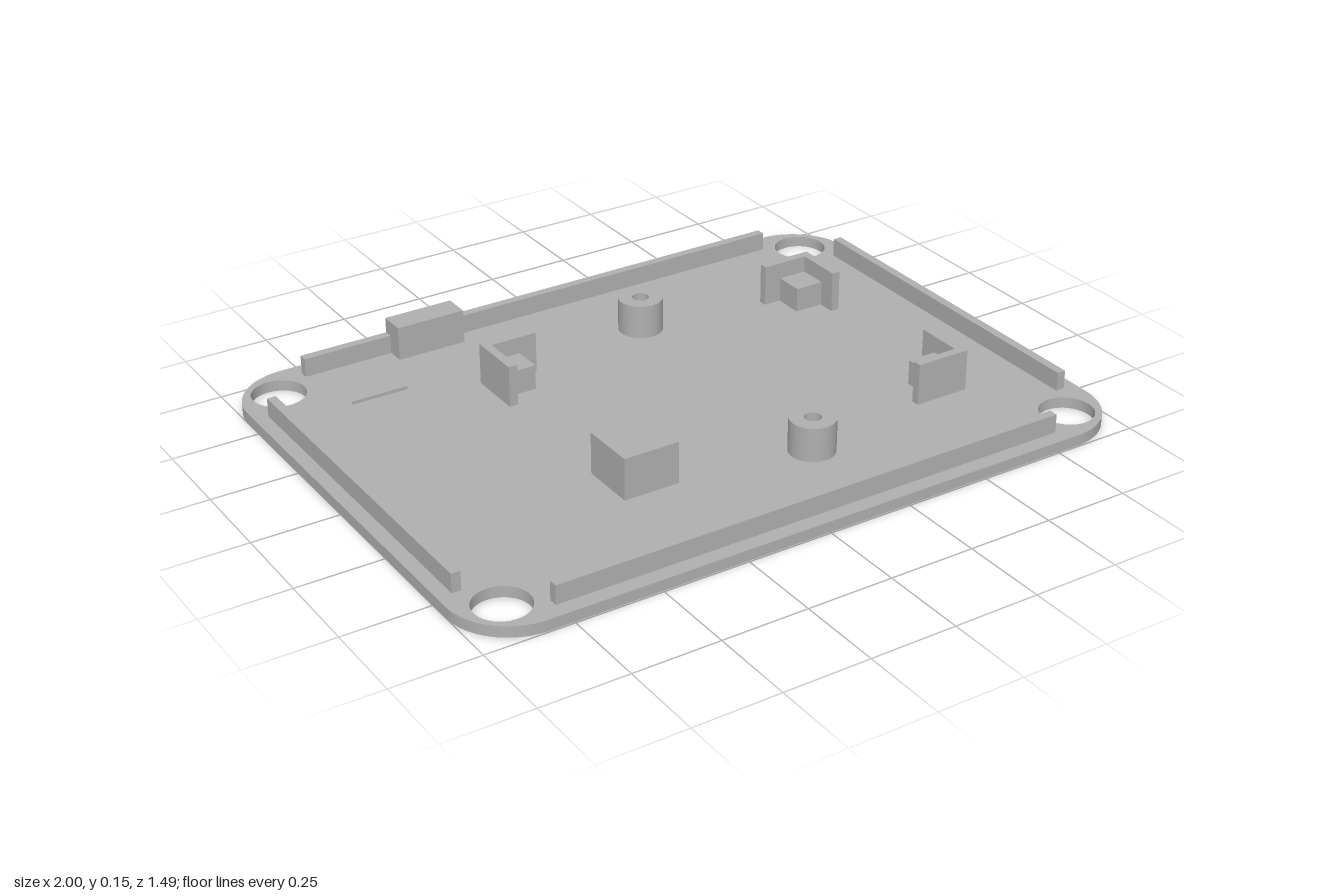
import * as THREE from 'three';

const BASE = 0.032; // top of the base plate

export function createModel() {
  const group = new THREE.Group();
  const gray = new THREE.MeshStandardMaterial({ color: 0xb0b0b0 });
  gray.name = 'plain gray';

  const add = (name, geometry) => {
    const mesh = new THREE.Mesh(geometry, gray);
    mesh.name = name;
    group.add(mesh);
    return mesh;
  };
  // Box standing on the plate, given by its x and z limits and its top
  const block = (name, x0, x1, z0, z1, top) => {
    const h = top - BASE;
    add(name, new THREE.BoxGeometry(Math.abs(x1 - x0), h, Math.abs(z1 - z0)))
      .position.set((x0 + x1) / 2, BASE + h / 2, (z0 + z1) / 2);
  };
  // Shape drawn in x and -z, raised from y0 to y1
  const raise = (name, shape, y0, y1) => {
    const g = new THREE.ExtrudeGeometry(shape, { depth: y1 - y0, bevelEnabled: false, curveSegments: 24 });
    g.rotateX(-Math.PI / 2);
    g.translate(0, y0, 0);
    return add(name, g);
  };
  const circle = (Type, x, y, r) => new Type().absarc(x, y, r, 0, Math.PI * 2);

  // Rounded base plate with four corner holes
  const W = 1, D = 0.746, R = 0.18;
  const plate = new THREE.Shape();
  plate.absarc(W - R, D - R, R, 0, Math.PI / 2);
  plate.absarc(R - W, D - R, R, Math.PI / 2, Math.PI);
  plate.absarc(R - W, R - D, R, Math.PI, Math.PI * 1.5);
  plate.absarc(W - R, R - D, R, Math.PI * 1.5, Math.PI * 2);
  for (const sx of [-1, 1]) for (const sz of [-1, 1]) {
    plate.holes.push(circle(THREE.Path, sx * 0.88, sz * 0.626, 0.077));
  }
  raise('basePlate', plate, 0, BASE);

  // Locating rails along the four edges
  for (const s of [-1, 1]) {
    block(s < 0 ? 'rightRail' : 'leftRail', s * 0.933, s * 0.959, -0.522, 0.522, 0.087);
    block(s < 0 ? 'backRail' : 'frontRail', -0.775, 0.775, s * 0.675, s * 0.701, 0.087);
  }

  // Stop block against the back rail
  block('stopBlock', -0.508, -0.3, -0.702, -0.624, 0.132);

  // Raised triangular marker
  const marker = new THREE.Shape([
    new THREE.Vector2(-0.74, 0.457), new THREE.Vector2(-0.57, 0.457), new THREE.Vector2(-0.655, 0.592),
  ]);
  raise('triangleMarker', marker, BASE, 0.042);

  // Hollow screw bosses
  for (const s of [-1, 1]) {
    const ring = circle(THREE.Shape, 0, 0, 0.065);
    ring.holes.push(circle(THREE.Path, 0, 0, 0.024));
    raise('screwBoss', ring, BASE, 0.132).position.set(0.172, 0, s * 0.425);
  }

  // Corner brackets, each an L-shaped wall with a lower support cube inside
  for (const sx of [-1, 1]) for (const sz of [-1, 1]) {
    const X = (d) => 0.172 + sx * (0.554 - d);
    const Z = (d) => sz * (0.379 - d);
    block('bracketSideWall', X(0), X(0.025), Z(0), Z(0.165), 0.154);
    block('bracketEndWall', X(0.025), X(0.165), Z(0), Z(0.025), 0.154);
    block('bracketSupport', X(0.025), X(0.112), Z(0.025), Z(0.112), 0.105);
  }
  return group;
}
